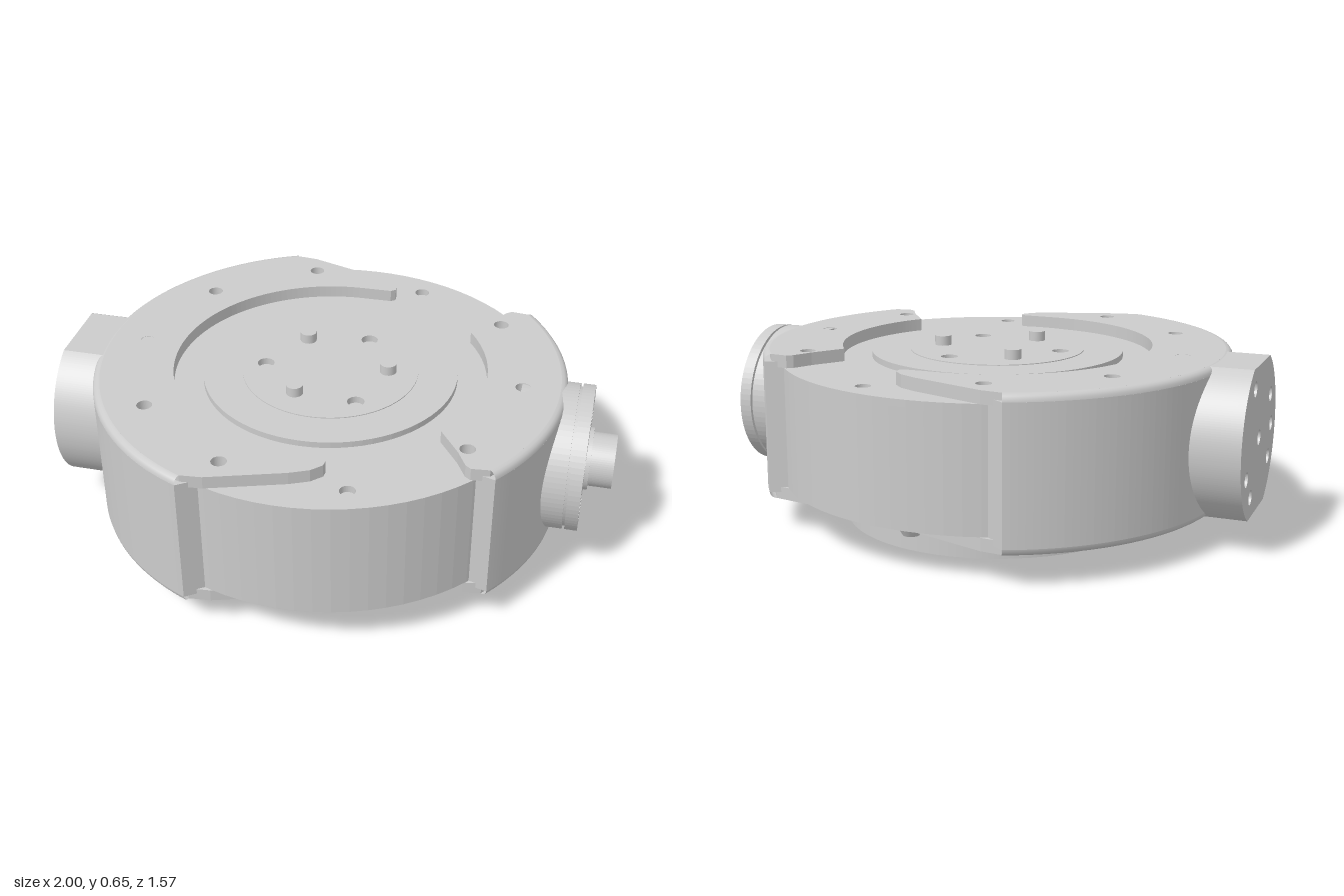
import * as THREE from 'three';

const mat = new THREE.MeshStandardMaterial({ color: 0xcccccc, side: THREE.DoubleSide });
const rad = THREE.MathUtils.degToRad;
const HUB_Y = 0.372;   // height of the hub axis
const SHELL_R = 0.845, DRUM_R = 0.783, BEVEL = 0.025;

function add(parent, name, geometry) {
  const mesh = new THREE.Mesh(geometry, mat);
  mesh.name = name;
  parent.add(mesh);
  return mesh;
}

// flat outline in (x, z), filled between two heights
function slab(parent, name, shape, y0, y1) {
  const g = new THREE.ExtrudeGeometry(shape, { depth: y1 - y0, bevelEnabled: false, curveSegments: 40 });
  g.rotateX(Math.PI / 2).translate(0, y1, 0);
  return add(parent, name, g);
}

// flat outline in (-z, y) about the hub axis, filled between two x positions
function slabX(parent, name, shape, x0, x1) {
  const g = new THREE.ExtrudeGeometry(shape, { depth: x1 - x0, bevelEnabled: false, curveSegments: 40 });
  g.rotateY(Math.PI / 2).translate(x0, HUB_Y, 0);
  return add(parent, name, g);
}

function disc(r, holes = [], holeR = 0.027) {
  const s = new THREE.Shape().absarc(0, 0, r, 0, Math.PI * 2, false);
  return punch(s, holes, holeR);
}

function punch(shape, holes, r) {
  for (const [x, y] of holes) shape.holes.push(new THREE.Path().absarc(x, y, r, 0, Math.PI * 2, true));
  return shape;
}

const polar = (r, deg) => [r * Math.cos(rad(deg)), r * Math.sin(rad(deg))];

// plate outline: outer arc from a0 to a1, edge down to the inner arc, mirrored edge back
function plate(a0, a1, edge, i0, i1, holes) {
  const s = new THREE.Shape().absarc(0, 0, SHELL_R - BEVEL, rad(a0), rad(a1), false);
  edge.forEach(([x, z, side]) => s.lineTo(x, side * z));
  s.absarc(0, 0, 0.56, rad(i1), rad(i0), true);
  [...edge].reverse().forEach(([x, z, side]) => s.lineTo(x, -side * z));
  return punch(s, holes, 0.027);
}

// side wall with bevel rings, spanning angles a0 to a1; b0 to b1 on its inside
function shellWall(parent, name, a0, a1, b0, b1) {
  const s = new THREE.Shape().absarc(0, 0, SHELL_R, rad(a0), rad(a1), false);
  s.absarc(0, 0, DRUM_R - 0.01, rad(b1), rad(b0), true);
  slab(parent, name, s, 0.11 + BEVEL, 0.635 - BEVEL);
  for (const [y, dir] of [[0.635, 1], [0.11, -1]]) {
    const pts = [];
    for (let i = 0; i <= 4; i++) {
      const t = (i / 4) * Math.PI / 2;
      pts.push(new THREE.Vector2(SHELL_R - BEVEL + BEVEL * Math.sin(t), y - dir * BEVEL * (1 - Math.cos(t))));
    }
    // lathe angles run from +z towards +x
    add(parent, name + 'Edge', new THREE.LatheGeometry(pts, 40, rad(90 - a1), rad(a1 - a0)));
  }
}

export function createModel() {
  const root = new THREE.Group();
  root.name = 'rotaryJoint';
  const body = new THREE.Group();
  body.name = 'body';
  body.position.x = -0.035;
  root.add(body);

  // drum with shallow screw holes, and the round base
  const ring = Array.from({ length: 10 }, (_, i) => polar(0.69, i * 36));
  slab(body, 'drum', disc(DRUM_R), 0.18, 0.565);
  slab(body, 'drumTop', disc(DRUM_R, ring), 0.565, 0.59);
  slab(body, 'drumBottom', disc(DRUM_R, ring), 0.155, 0.18);
  add(body, 'base', new THREE.CylinderGeometry(0.555, 0.555, 0.17, 64).translate(0, 0.085, 0));

  // output face with three holes and three pins
  const faceHoles = [[0.095, -0.22], [-0.235, 0.02], [0.135, 0.19]];
  slab(body, 'outputFace', disc(0.455, faceHoles, 0.03), 0.585, 0.612);
  slab(body, 'outputFaceCentre', disc(0.315, faceHoles, 0.03), 0.61, 0.615);
  for (const [x, z] of [[-0.125, -0.17], [0.205, -0.025], [-0.085, 0.185]]) {
    add(body, 'pin', new THREE.CylinderGeometry(0.03, 0.03, 0.06, 20).translate(x, 0.62, z));
  }

  // right shell (+x), mirrored over z
  const rightHoles = ring.filter((p, i) => [0, 1, 9].includes(i));
  shellWall(body, 'rightShellWall', -37.9, 37.9, -40, 40);
  slab(body, 'rightTopPlate',
    plate(-37.9, 37.9, [[0.585, 0.51, 1], [0.565, 0.495, 1], [0.53, 0.43, 1]], -35.5, 35.5, rightHoles), 0.59, 0.635);
  slab(body, 'rightBottomPlate',
    plate(-37.9, 37.9, [[0.585, 0.515, 1], [0.33, 0.555, 1], [0.285, 0.535, 1]], -58.5, 58.5, rightHoles), 0.11, 0.155);

  // left shell (-x) with two long curved arms
  const leftHoles = ring.filter((p, i) => i >= 3 && i <= 7);
  const arm = [[-0.24, 0.75, -1], [0.02, 0.665, -1], [0.085, 0.635, -1], [0.12, 0.6, -1],
    [0.122, 0.575, -1], [0.105, 0.562, -1]];
  shellWall(body, 'leftShellWall', 112.6, 247.4, 109, 251);
  for (const [name, y] of [['leftTopPlate', 0.59], ['leftBottomPlate', 0.11]]) {
    slab(body, name, plate(112.6, 247.4, arm, 90, 270, leftHoles), y, y + 0.045);
  }

  // tapered stops under the arm tips
  for (const side of [1, -1]) {
    for (const [x, z, h] of [[0.09, 0.565, 0.045], [0.325, 0.475, 0.028]]) {
      add(body, 'stop', new THREE.CylinderGeometry(0.055, 0.03, h, 16).translate(x, 0.11 - h / 2, side * z));
    }
  }

  // right hub: grooved flange, six recessed screws, stub shaft
  const hub = new THREE.Group();
  hub.name = 'rightHub';
  root.add(hub);
  const screws = Array.from({ length: 6 }, (_, i) => polar(0.183, 30 + i * 60));
  slabX(hub, 'hubBody', disc(0.262), 0.65, 0.848);
  slabX(hub, 'hubGroove', disc(0.25), 0.845, 0.86);
  slabX(hub, 'hubFlange', disc(0.262, screws, 0.055), 0.858, 0.902);
  for (const [u, v] of screws) {
    const head = slabX(hub, 'screw', disc(0.032, [[0, 0]], 0.02), 0.855, 0.875);
    head.position.set(0, v, -u);
  }
  slabX(hub, 'shaftCollar', disc(0.112), 0.895, 0.917);
  slabX(hub, 'shaft', disc(0.097), 0.91, 0.98);
  slabX(hub, 'shaftEnd', disc(0.097, [[-0.045, 0.027], [0.045, -0.027]], 0.02), 0.98, 1.0);

  // left hub: round boss cut flat above and below, with mounting holes
  const flat = Math.asin(0.262 / 0.295);
  const boss = () => new THREE.Shape()
    .absarc(0, 0, 0.295, -flat, flat, false)
    .absarc(0, 0, 0.295, Math.PI - flat, Math.PI + flat, false);
  const mounts = [[0, 0], ...[180, 148, 212, 62, 332, 300].map((a) => polar(0.215, a))];
  slabX(root, 'leftHub', boss(), -0.97, -0.65);
  slabX(root, 'leftHubFace', punch(boss(), mounts, 0.027), -1.0, -0.97);

  return root;
}
